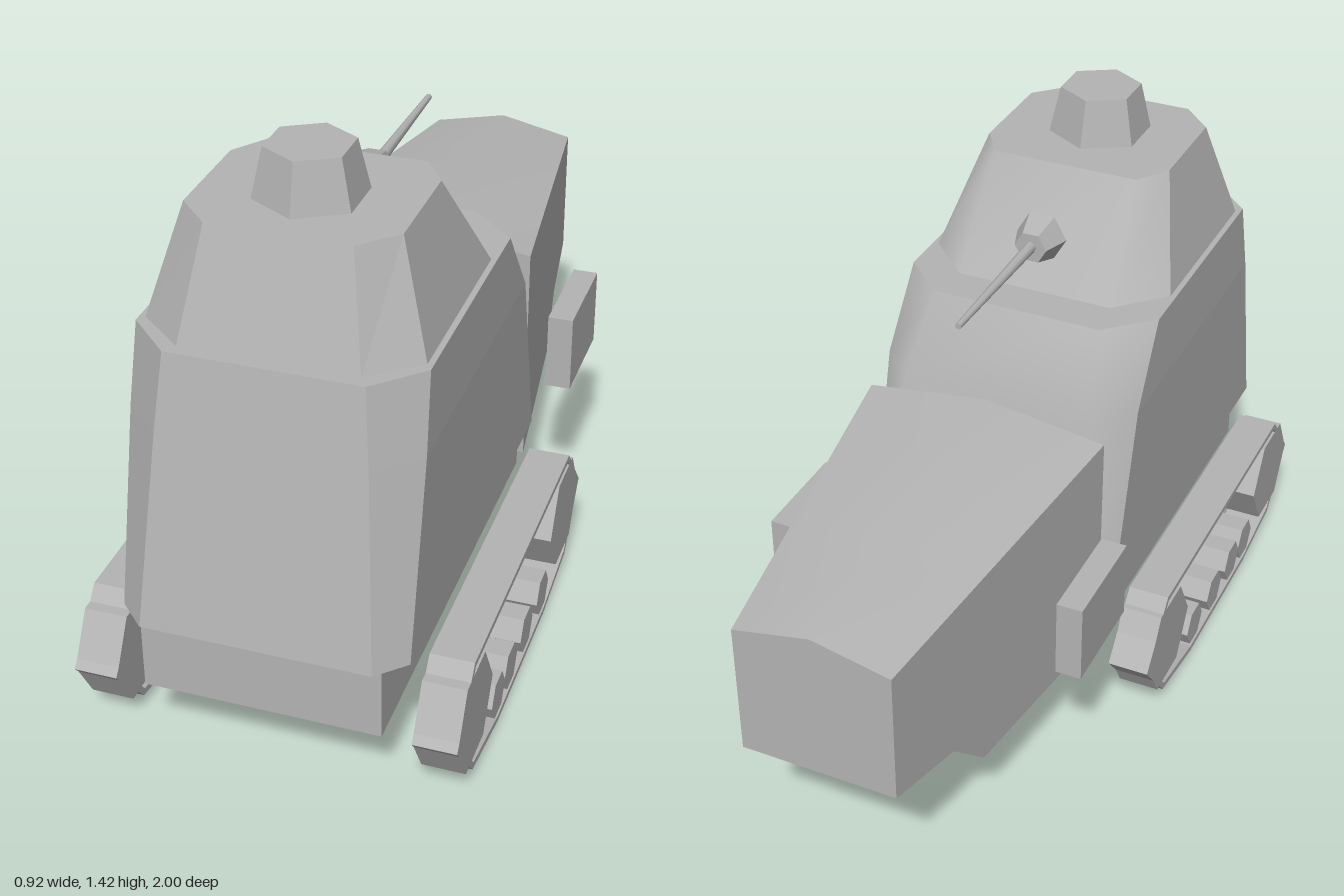
import * as THREE from 'three';
import { mergeGeometries } from 'three/addons/utils/BufferGeometryUtils.js';

const grey = new THREE.MeshStandardMaterial({ color: 0xb4b4b4 });

function add(parent, name, geometry, x = 0, y = 0, z = 0) {
  const mesh = new THREE.Mesh(geometry, grey);
  mesh.name = name;
  mesh.position.set(x, y, z);
  parent.add(mesh);
  return mesh;
}

function faceted(geometry) {
  const g = geometry.index ? geometry.toNonIndexed() : geometry;
  g.computeVertexNormals();
  return g;
}

// Joins closed rings into a capped solid; strips listed in smooth share normals
function loft(rings, smooth) {
  const n = rings[0].length;
  const points = rings.flat(2);
  const flatFaces = [], smoothFaces = [];
  for (let i = 0; i < rings.length - 1; i++) {
    for (let j = 0; j < n; j++) {
      const a = i * n + j, b = i * n + (j + 1) % n;
      (smooth.includes(j) ? smoothFaces : flatFaces).push(a, b, b + n, a, b + n, a + n);
    }
  }
  const end = (rings.length - 1) * n;
  for (let k = 1; k < n - 1; k++) {
    flatFaces.push(0, k + 1, k, end, end + k, end + k + 1);
  }
  const build = (faces) => {
    const g = new THREE.BufferGeometry();
    g.setAttribute('position', new THREE.Float32BufferAttribute(points, 3));
    g.setIndex(faces);
    return g;
  };
  const rounded = build(smoothFaces);
  rounded.computeVertexNormals();
  return mergeGeometries([faceted(build(flatFaces)), rounded.toNonIndexed()]);
}

// Octagonal level: front edge, side edge and rear edge
function level(y, frontW, frontZ, sideX, sideFront, sideRear, rearW, rearZ) {
  const half = [[frontW, y, frontZ], [sideX, y, sideFront], [sideX, y, sideRear], [rearW, y, rearZ]];
  return [...half, ...half.map(([x, h, z]) => [-x, h, z]).reverse()];
}

function hexWheel(radius, width) {
  return faceted(new THREE.CylinderGeometry(radius, radius, width, 6).rotateZ(Math.PI / 2));
}

function createTrack() {
  const track = new THREE.Group();
  track.name = 'track';
  const toPoints = (list) => list.map(([z, y]) => new THREE.Vector2(z, y));
  const width = 0.105;

  // Belt loop, drawn in z and y
  const shape = new THREE.Shape(toPoints([[0.975, 0.19], [0.845, 0.345], [-0.015, 0.345], [-0.145, 0.19],
    [-0.015, 0.035], [0.2, 0], [0.63, 0], [0.845, 0.035]]));
  shape.holes.push(new THREE.Path(toPoints([[0.955, 0.19], [0.837, 0.33], [-0.007, 0.33], [-0.125, 0.19],
    [-0.007, 0.05], [0.2, 0.015], [0.63, 0.015], [0.837, 0.05]])));
  const belt = new THREE.ExtrudeGeometry(shape, { depth: width, bevelEnabled: false });
  belt.rotateY(-Math.PI / 2).translate(width / 2, 0, 0);
  add(track, 'trackBelt', belt);

  // End wheels and road wheels
  for (const z of [0.83, 0.012]) add(track, 'endWheel', hexWheel(0.14, width), 0, 0.19, z);
  for (const z of [0.63, 0.52, 0.375, 0.22]) add(track, 'roadWheel', hexWheel(0.057, width), 0, 0.08, z);
  return track;
}

export function createModel() {
  const model = new THREE.Group();
  model.name = 'armouredVehicle';

  // Lower chassis
  add(model, 'chassis', new THREE.BoxGeometry(0.57, 0.19, 1.135), 0, 0.285, 0.4025);

  // Tall hull and turret with rounded rears
  add(model, 'hull', loft([
    level(0.38, 0.273, 1.0, 0.34, 0.935, -0.09, 0.275, -0.155),
    level(0.85, 0.243, 0.922, 0.34, 0.828, 0.03, 0.25, -0.06),
    level(1.04, 0.227, 0.89, 0.334, 0.785, 0.165, 0.22, 0.06),
  ], [2, 3, 4]));
  add(model, 'turret', loft([
    level(1.04, 0.207, 0.86, 0.32, 0.765, 0.28, 0.205, 0.165),
    level(1.3, 0.166, 0.78, 0.246, 0.698, 0.435, 0.19, 0.352),
  ], [2, 3, 4]));
  add(model, 'cupola', faceted(new THREE.CylinderGeometry(0.103, 0.131, 0.12, 6)), 0, 1.36, 0.58);

  // Rear-facing gun
  add(model, 'gunMount', faceted(new THREE.CylinderGeometry(0.042, 0.066, 0.07, 6)
    .rotateY(Math.PI / 6).rotateX(-Math.PI / 2)), 0, 1.172, 0.178);
  add(model, 'gunBarrel', new THREE.CylinderGeometry(0.008, 0.015, 0.405, 8)
    .rotateX(-Math.PI / 2), 0, 1.174, -0.06);

  // Tapered engine hood with a ridged top and stepped underside
  const hoodSection = (z, bottom) => {
    const t = (-0.12 - z) / 0.88;
    const w = 0.313 - 0.118 * t, side = 0.843 - 0.075 * t, peak = 0.887 - 0.077 * t;
    return [[-w, bottom, z], [-w, side, z], [0, peak, z], [w, side, z], [w, bottom, z]];
  };
  add(model, 'engineHood', loft([
    hoodSection(-0.12, 0.257), hoodSection(-0.65, 0.257), hoodSection(-0.775, 0.38), hoodSection(-1, 0.422),
  ], [1, 2, 4]));

  // Side boxes and tracks
  for (const side of [1, -1]) {
    add(model, 'sideBox', new THREE.BoxGeometry(0.065, 0.205, 0.272), side * 0.379, 0.527, -0.338);
    const track = createTrack();
    track.position.x = side * 0.408;
    model.add(track);
  }
  return model;
}
